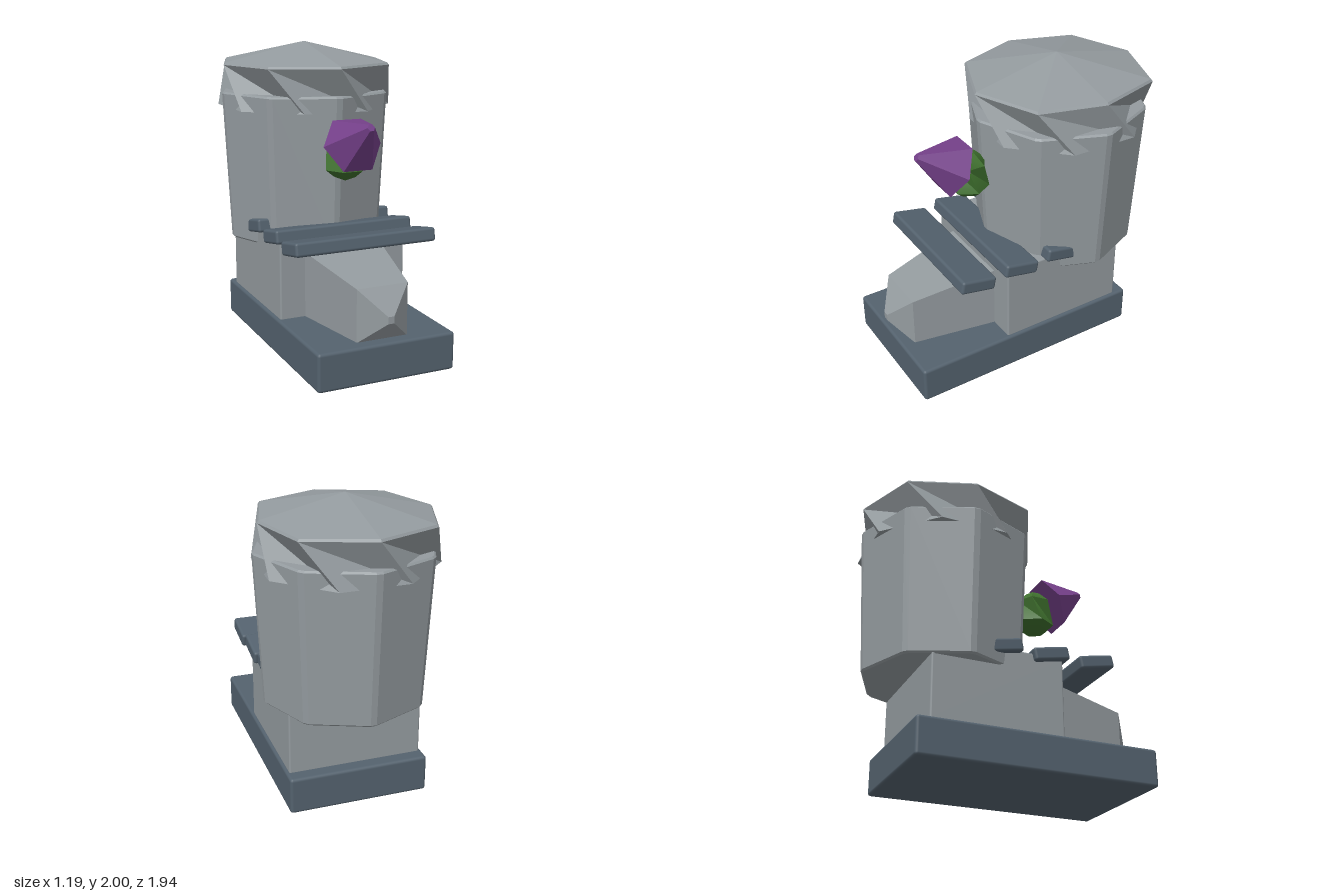
import * as THREE from 'three';
import { toCreasedNormals } from 'three/addons/utils/BufferGeometryUtils.js';
import { RoundedBoxGeometry } from 'three/addons/geometries/RoundedBoxGeometry.js';

const V = (x, y, z) => new THREE.Vector3(x, y, z);

// Closed skin over rings of equal point count, counter-clockwise about the loft direction.
function loft(rings, crease = 0.01) {
  const n = rings[0].length;
  const collapse = (ring) => {
    const c = V(0, 0, 0);
    ring.forEach((p) => c.addScaledVector(p, 1 / n));
    return ring.map(() => c);
  };
  const all = [collapse(rings[0]), ...rings, collapse(rings[rings.length - 1])];
  const pos = [];
  const tri = (a, b, c) => {
    const area = b.clone().sub(a).cross(c.clone().sub(a)).length();
    if (area > 1e-7) for (const p of [a, b, c]) pos.push(p.x, p.y, p.z);
  };
  for (let k = 0; k < all.length - 1; k++) {
    for (let i = 0; i < n; i++) {
      const j = (i + 1) % n;
      const a = all[k][i], b = all[k][j], c = all[k + 1][j], d = all[k + 1][i];
      tri(a, b, d);
      tri(b, c, d);
    }
  }
  const geo = new THREE.BufferGeometry();
  geo.setAttribute('position', new THREE.Float32BufferAttribute(pos, 3));
  geo.computeVertexNormals();
  return toCreasedNormals(geo, crease);
}

// Horizontal polygon ring; radius may be a number or one value per corner.
function ring(n, radius, y, turn = 0) {
  return Array.from({ length: n }, (_, i) => {
    const t = (i / n) * Math.PI * 2 + turn;
    const r = Array.isArray(radius) ? radius[i] : radius;
    return V(Math.sin(t) * r, y, Math.cos(t) * r);
  });
}

// Octagon ring with each corner cut by a narrow bevel.
function bevelledOctagon(radius, y, cut = 0.05) {
  const corners = ring(8, radius, y);
  return corners.flatMap((p, i) => [
    p.clone().lerp(corners[(i + 7) % 8], cut),
    p.clone().lerp(corners[(i + 1) % 8], cut),
  ]);
}

export function createModel() {
  const group = new THREE.Group();
  const material = (name, color) => {
    const m = new THREE.MeshStandardMaterial({ color });
    m.name = name;
    return m;
  };
  const stone = material('stone grey', 0x949b9f);
  const slate = material('slate blue', 0x54626e);
  const purple = material('purple', 0x75408a);
  const green = material('leaf green', 0x3e6f2d);

  const add = (name, geo, mat, x = 0, y = 0, z = 0, rx = 0) => {
    const mesh = new THREE.Mesh(geo, mat);
    mesh.name = name;
    mesh.position.set(x, y, z);
    mesh.rotation.x = rx;
    group.add(mesh);
    return mesh;
  };

  // Plinth and main block
  add('plinth', new RoundedBoxGeometry(0.94, 0.25, 1.63, 2, 0.02), slate, 0, 0.125, 0.125);
  add('block', new RoundedBoxGeometry(0.9, 0.54, 0.89, 2, 0.012), stone, 0, 0.51, -0.155);

  // Tapered front with a pyramid nose
  const section = (h, y0, y1, z) => [V(h, y0, z), V(h, y1, z), V(-h, y1, z), V(-h, y0, z)];
  add('frontWedge', loft([
    section(0.28, 0.245, 0.69, 0.27),
    section(0.175, 0.245, 0.59, 0.85),
    section(0.02, 0.385, 0.43, 0.97),
  ]), stone);

  // Tilted planks
  [0.525, 0.2, -0.125].forEach((z, i) => {
    add('plank' + (i + 1), new RoundedBoxGeometry(0.975, 0.09, 0.25, 2, 0.018),
      slate, 0, 0.79, z, -0.2);
  });

  // Tapered octagonal tower
  add('tower', loft([
    bevelledOctagon(0.537, 0.66),
    bevelledOctagon(0.55, 0.672),
    bevelledOctagon(0.602, 1.663),
    bevelledOctagon(0.59, 1.675),
  ]), stone, 0, 0, -0.365);

  // Twisted cap: the lower points are turned half a side from the rim
  const rim = [0.615, 0.615, 0.56, 0.625, 0.6, 0.61, 0.585, 0.615];
  add('cap', loft([
    ring(8, [0.59, 0.59, 0.6, 0.6, 0.59, 0.6, 0.59, 0.57], 1.565, Math.PI / 8),
    rim.map((r, i) => ring(8, r, 1.855)[i]),
    ring(8, rim.map((r) => r - 0.012), 1.87),
    ring(8, 0, 2),
  ]), stone, 0, 0, -0.365);

  // Twisted green bud
  add('bud', loft([
    ring(6, 0, 1.143),
    ring(6, 0.08, 1.175, Math.PI / 6),
    ring(6, 0.136, 1.22, Math.PI / 6),
    ring(6, 0.122, 1.395),
    ring(6, 0.05, 1.465),
    ring(6, 0, 1.478),
  ], 0.7), green, 0, 0, 0.31);

  // Six-sided horn pointing forward and up
  const horn = new THREE.CylinderGeometry(0.025, 0.2, 0.3, 6, 1, false, Math.PI / 6);
  horn.translate(0, 0.15, 0);
  add('horn', toCreasedNormals(horn, 0.01), purple, 0, 1.392, 0.415, 1.06);

  return group;
}
